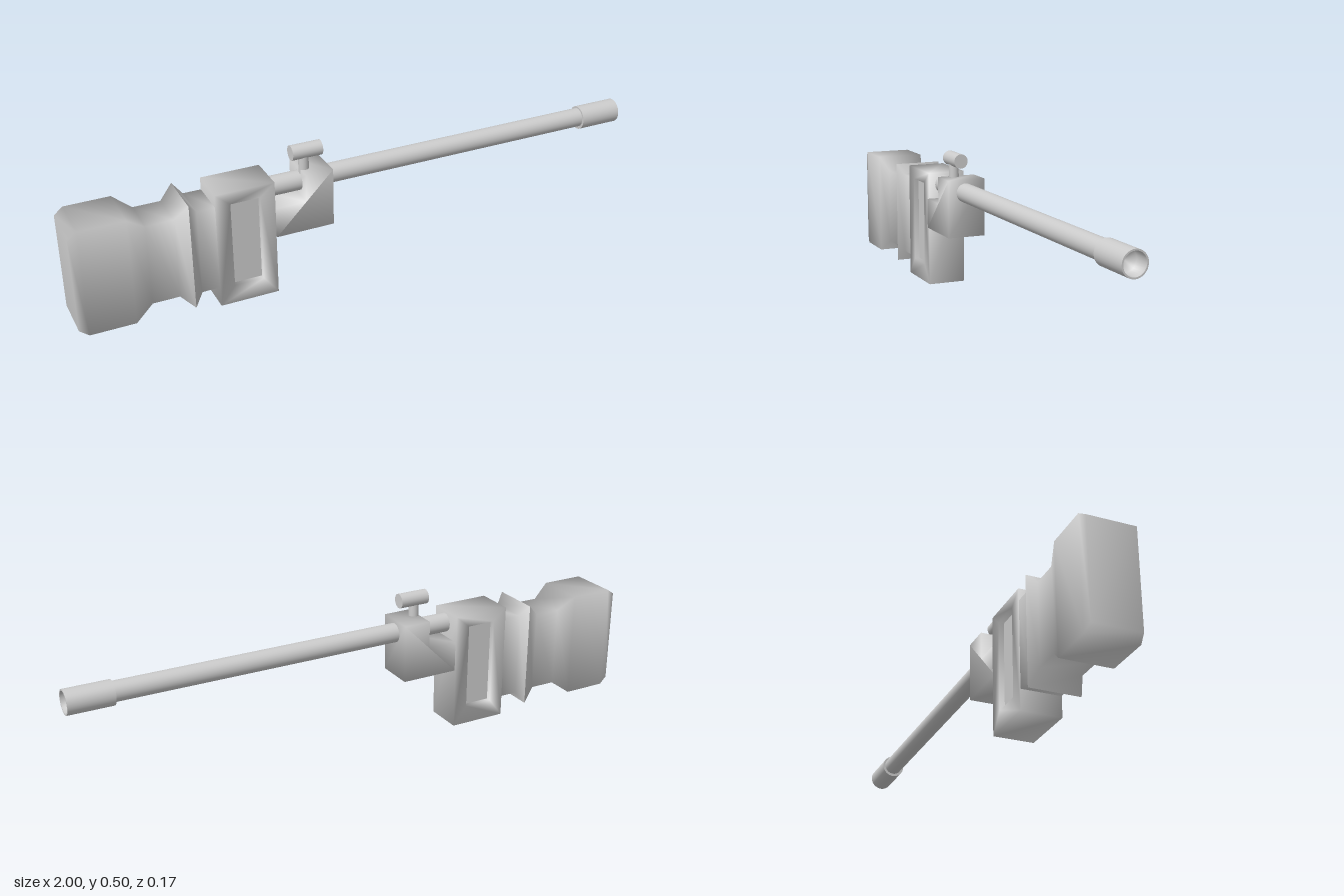
import * as THREE from 'three';
import { mergeVertices } from 'three/addons/utils/BufferGeometryUtils.js';

const material = new THREE.MeshStandardMaterial({ color: 0xcccccc, side: THREE.DoubleSide });

function part(name, geometry, x = 0, y = 0, z = 0) {
  const mesh = new THREE.Mesh(geometry, material);
  mesh.name = name;
  mesh.position.set(x, y, z);
  return mesh;
}

// Shares corner vertices so the shading flows softly across edges
function soften(geometry) {
  geometry.deleteAttribute('uv');
  geometry.deleteAttribute('normal');
  const merged = mergeVertices(geometry, 1e-4);
  merged.computeVertexNormals();
  return merged;
}

// Loft of rectangular sections along x: [x, bottom, top, half depth]
function loft(sections, capStart) {
  const positions = [], index = [];
  for (const [x, lo, hi, w] of sections) {
    positions.push(x, lo, -w, x, hi, -w, x, hi, w, x, lo, w);
  }
  for (let i = 0; i < sections.length - 1; i++) {
    for (let j = 0; j < 4; j++) {
      const a = i * 4 + j, b = i * 4 + (j + 1) % 4;
      index.push(a, b, b + 4, a, b + 4, a + 4);
    }
  }
  if (capStart) index.push(0, 2, 1, 0, 3, 2);
  const geometry = new THREE.BufferGeometry();
  geometry.setAttribute('position', new THREE.Float32BufferAttribute(positions, 3));
  geometry.setIndex(index);
  geometry.computeVertexNormals();
  return geometry;
}

// Outline in x and y, extruded between two z values
function plate(points, z0, z1, hole) {
  const toVectors = (list) => list.map(([x, y]) => new THREE.Vector2(x, y));
  const shape = new THREE.Shape(toVectors(points));
  if (hole) shape.holes.push(new THREE.Path(toVectors(hole)));
  const geometry = new THREE.ExtrudeGeometry(shape, { depth: z1 - z0, bevelEnabled: false });
  return geometry.translate(0, 0, z0);
}

const rectangle = (x0, y0, x1, y1) => [[x0, y0], [x1, y0], [x1, y1], [x0, y1]];

// Revolved profile along x: [radius, x]
function turned(profile) {
  const points = profile.map(([r, x]) => new THREE.Vector2(r, x));
  return new THREE.LatheGeometry(points, 32).rotateZ(-Math.PI / 2);
}

export function createModel() {
  const model = new THREE.Group();
  model.name = 'tool';

  // Grip, split at the sharp ridge of its flange
  model.add(part('grip', loft([
    [-1, 0.05, 0.38, 0.078],
    [-0.97, 0.03, 0.4, 0.085],
    [-0.82, 0.03, 0.4, 0.085],
    [-0.76, 0.075, 0.355, 0.067],
    [-0.67, 0.075, 0.355, 0.067],
    [-0.625, 0.03, 0.4, 0.085],
  ], true)));
  model.add(part('gripCollar', loft([
    [-0.625, 0.03, 0.4, 0.085],
    [-0.595, 0.07, 0.365, 0.066],
    [-0.53, 0.07, 0.365, 0.066],
  ], false)));

  // Body block with a recessed window on each side
  const opening = rectangle(-0.485, 0.065, -0.385, 0.365);
  const block = plate(rectangle(-0.535, 0, -0.335, 0.407), -0.067, 0.067, opening);
  model.add(part('bodyBlock', soften(block)));
  model.add(part('windowPanel', new THREE.BoxGeometry(0.1, 0.3, 0.1), -0.435, 0.215, 0));

  // Stepped bracket that carries the rod
  const bracket = plate([
    [-0.335, 0.21], [-0.135, 0.21], [-0.135, 0.41],
    [-0.23, 0.41], [-0.23, 0.315], [-0.335, 0.315],
  ], -0.062, 0.073);
  model.add(part('bracket', soften(bracket)));

  // Rod and its hollow tip
  const rod = new THREE.CylinderGeometry(0.033, 0.033, 1.23, 32).rotateZ(Math.PI / 2);
  model.add(part('rod', rod, 0.265, 0.365, 0.01));
  for (const [name, profile] of [
    ['tipShoulder', [[0, 0.85], [0.041, 0.85]]],
    ['tipSleeve', [[0.041, 0.85], [0.041, 1]]],
    ['tipRim', [[0.041, 1], [0.036, 1]]],
    ['tipBore', [[0.036, 1], [0.034, 0.95], [0, 0.94]]],
  ]) {
    model.add(part(name, turned(profile), 0, 0.363, 0.01));
  }

  // Clamp screw with a crosswise handle
  const screw = new THREE.CylinderGeometry(0.017, 0.017, 0.08, 20);
  model.add(part('clampStem', screw, -0.215, 0.43, 0.02));
  const handle = new THREE.CylinderGeometry(0.025, 0.025, 0.104, 24).rotateZ(Math.PI / 2);
  model.add(part('clampHandle', handle, -0.207, 0.471, 0.018));

  return model;
}
